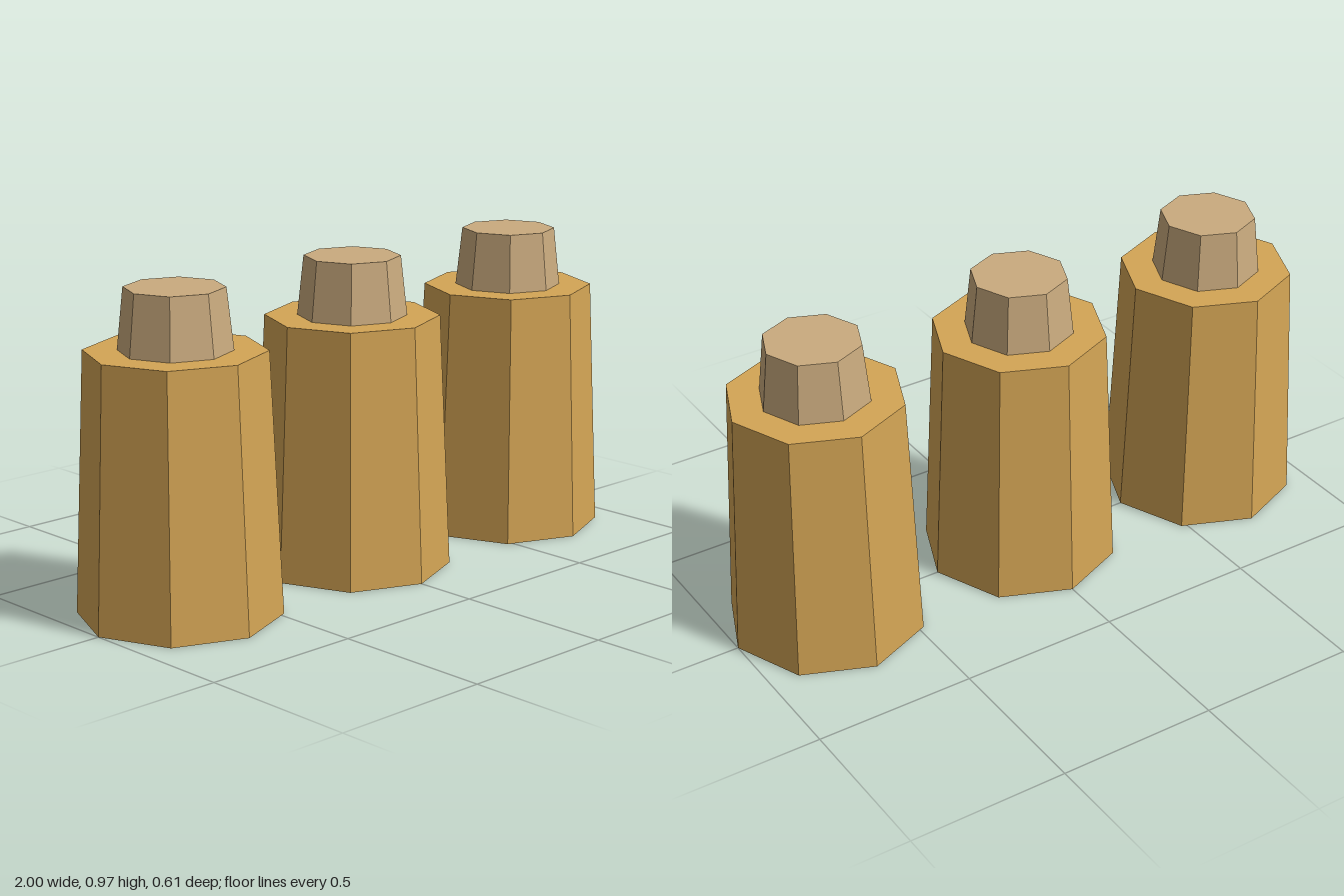
import * as THREE from 'three';

export function createModel() {
  const group = new THREE.Group();
  const ochre = new THREE.MeshStandardMaterial({ name: 'ochre', color: 0xd4a555, flatShading: true });
  const tan = new THREE.MeshStandardMaterial({ name: 'tan', color: 0xcaab7e, flatShading: true });

  const bodyHeight = 0.787;
  const totalHeight = 0.97;

  // Tapered octagonal section standing between two heights
  function section(name, rTop, rBottom, y0, y1, material) {
    const mesh = new THREE.Mesh(new THREE.CylinderGeometry(rTop, rBottom, y1 - y0, 8), material);
    mesh.name = name;
    mesh.position.y = (y0 + y1) / 2;
    return mesh;
  }

  // Three identical bottles in a row
  ['rightBottle', 'middleBottle', 'leftBottle'].forEach((name, i) => {
    const bottle = new THREE.Group();
    bottle.name = name;
    bottle.position.x = (i - 1) * 0.697;
    bottle.add(section('body', 0.267, 0.303, 0, bodyHeight, ochre));
    bottle.add(section('stopper', 0.147, 0.167, bodyHeight, totalHeight, tan));
    group.add(bottle);
  });

  return group;
}
